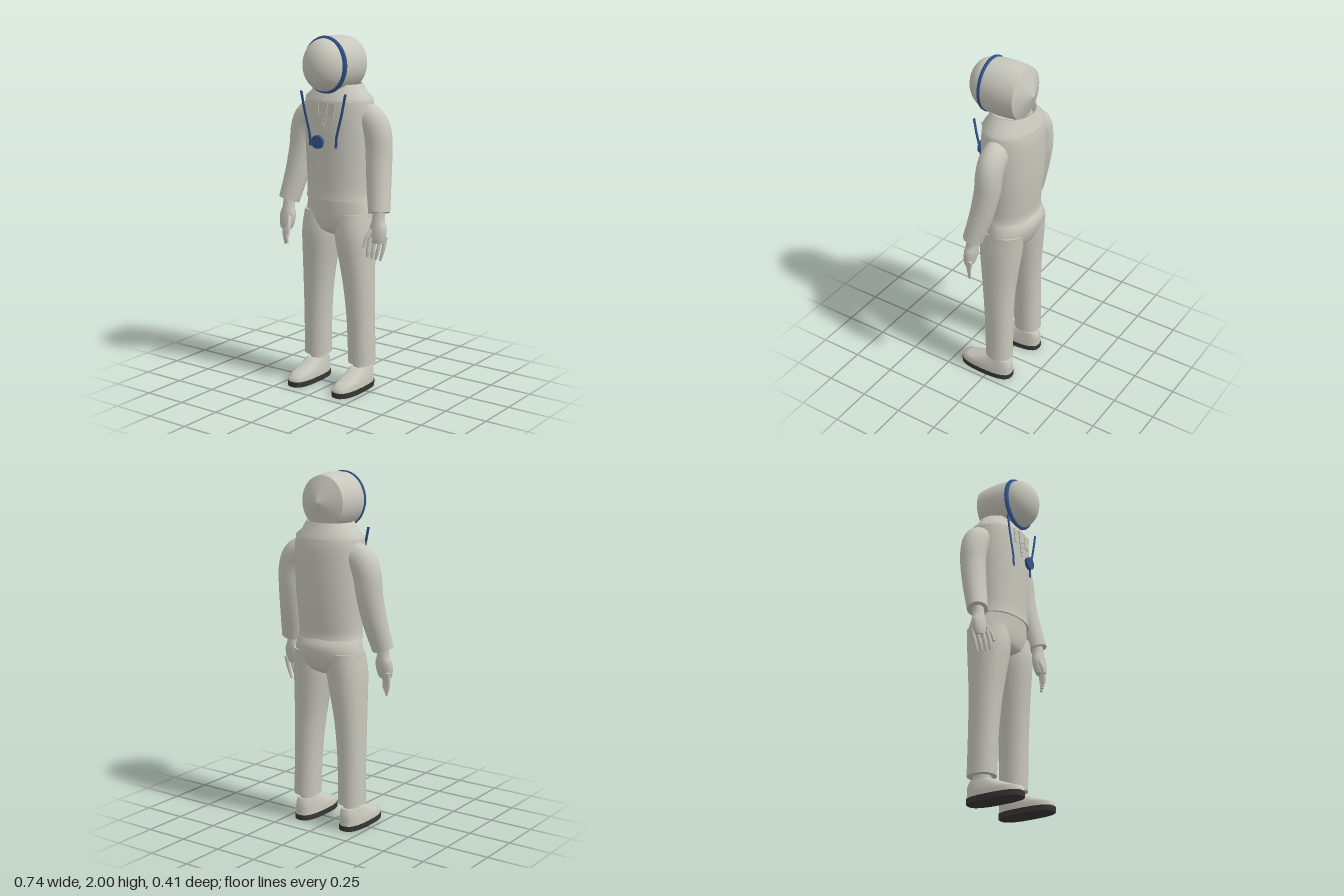
import * as THREE from 'three';

const suit = new THREE.MeshStandardMaterial({ color: 0xc8c7bc });
suit.name = 'suit grey';
const blue = new THREE.MeshStandardMaterial({ color: 0x34558f });
blue.name = 'trim blue';
const rubber = new THREE.MeshStandardMaterial({ color: 0x383734 });
rubber.name = 'sole rubber';

const mesh = (name, geo, mat, parent) => {
  const m = new THREE.Mesh(geo, mat);
  m.name = name;
  parent.add(m);
  return m;
};

// Smoothly adds steps between rows of numbers
function resample(rows, steps) {
  const out = [];
  const at = i => rows[Math.min(rows.length - 1, Math.max(0, i))];
  for (let i = 0; i < rows.length - 1; i++)
    for (let k = 0; k < steps; k++) {
      const t = k / steps;
      out.push(rows[i].map((p1, j) => {
        const p0 = at(i - 1)[j], p2 = at(i + 1)[j], p3 = at(i + 2)[j];
        return p1 + 0.5 * t * (p2 - p0 + t * (2 * p0 - 5 * p1 + 4 * p2 - p3 + t * (3 * (p1 - p2) + p3 - p0)));
      }));
    }
  out.push(rows[rows.length - 1]);
  return out;
}

// Skin over cross-sections [x, y, z, radiusX, radiusZ]; flat keeps every section level
function loft(rows, { seg = 24, flat = true, power = 2, steps = 3 } = {}) {
  const r = steps > 1 ? resample(rows, steps) : rows;
  const pos = [], idx = [], zAxis = new THREE.Vector3(0, 0, 1);
  const centre = i => new THREE.Vector3(r[i][0], r[i][1], r[i][2]);
  const ring = i => {
    const t = flat ? new THREE.Vector3(0, 1, 0)
      : centre(Math.min(i + 1, r.length - 1)).sub(centre(Math.max(i - 1, 0))).normalize();
    const u = t.clone().cross(zAxis).normalize(), v = u.clone().cross(t);
    for (let k = 0; k < seg; k++) {
      const a = k / seg * Math.PI * 2, c = Math.cos(a), s = Math.sin(a);
      const p = centre(i)
        .addScaledVector(u, Math.sign(c) * Math.abs(c) ** (2 / power) * r[i][3])
        .addScaledVector(v, Math.sign(s) * Math.abs(s) ** (2 / power) * r[i][4]);
      pos.push(p.x, p.y, p.z);
    }
  };
  r.forEach((_, i) => ring(i));
  for (let i = 0; i < r.length - 1; i++)
    for (let k = 0; k < seg; k++) {
      const a = i * seg + k, b = i * seg + (k + 1) % seg;
      idx.push(a, a + seg, b, b, a + seg, b + seg);
    }
  // end caps
  for (const end of [0, r.length - 1]) {
    const base = pos.length / 3;
    ring(end);
    pos.push(r[end][0], r[end][1], r[end][2]);
    for (let k = 0; k < seg; k++) {
      const a = base + k, b = base + (k + 1) % seg;
      idx.push(base + seg, ...(end === 0 ? [a, b] : [b, a]));
    }
  }
  const g = new THREE.BufferGeometry();
  g.setAttribute('position', new THREE.Float32BufferAttribute(pos, 3));
  g.setIndex(idx);
  g.computeVertexNormals();
  return g;
}

// Turned part whose axis points to the front, stretched into an oval
function turned(points, rx, ry) {
  const g = new THREE.LatheGeometry(points.map(p => new THREE.Vector2(...p)), 40);
  g.rotateX(Math.PI / 2);
  g.scale(rx, ry, 1);
  return g;
}

// Thin plate facing the front
function plate(points) {
  return new THREE.ExtrudeGeometry(new THREE.Shape(points.map(p => new THREE.Vector2(...p))),
    { depth: 0.005, bevelEnabled: false });
}

export function createModel() {
  const model = new THREE.Group();
  model.name = 'spacesuit';

  // Jacket, collar and hips
  mesh('jacket', loft([
    [0, 1.095, -0.042, 0.193, 0.138], [0, 1.13, -0.042, 0.188, 0.135], [0, 1.2, -0.046, 0.19, 0.139],
    [0, 1.35, -0.05, 0.2, 0.148], [0, 1.5, -0.05, 0.207, 0.152], [0, 1.6, -0.05, 0.206, 0.15],
    [0, 1.645, -0.048, 0.2, 0.145]], { seg: 40, power: 2.2 }), suit, model);
  mesh('collar', loft([
    [0, 1.635, -0.048, 0.206, 0.148], [0, 1.66, -0.048, 0.204, 0.147], [0, 1.69, -0.048, 0.168, 0.126],
    [0, 1.735, -0.048, 0.138, 0.117], [0, 1.735, -0.048, 0.128, 0.108], [0, 1.69, -0.045, 0.118, 0.1]],
  { seg: 40, steps: 1 }), suit, model);
  mesh('hips', loft([
    [0, 0.89, -0.045, 0.07, 0.06], [0, 0.92, -0.048, 0.16, 0.11], [0, 0.98, -0.054, 0.21, 0.134],
    [0, 1.05, -0.057, 0.203, 0.143], [0, 1.1, -0.045, 0.188, 0.134]], { seg: 40 }), suit, model);

  // Helmet
  const helmet = new THREE.Group();
  helmet.name = 'helmet';
  helmet.position.y = 1.843;
  model.add(helmet);
  mesh('helmetBack', turned([[0, -0.175], [0.93, -0.12]], 0.145, 0.155), suit, helmet);
  mesh('helmetShell', turned([[0.93, -0.12], [0.98, -0.07], [1, -0.01], [0.99, 0.04], [0.96, 0.08]], 0.145, 0.155), suit, helmet);
  mesh('visorRim', turned([[0.82, 0.074], [0.98, 0.074], [1, 0.08], [0.98, 0.093], [0.82, 0.093]], 0.143, 0.157), blue, helmet);
  const visor = new THREE.SphereGeometry(1, 36, 24);
  visor.scale(0.123, 0.144, 0.112);
  mesh('visor', visor, suit, helmet).position.z = 0.092;

  // Neck flaps
  mesh('centreFlap', plate([[-0.032, 1.645], [-0.006, 1.49], [0.006, 1.49], [0.032, 1.645]]), suit, model).position.z = 0.102;
  for (let i = 0; i < 3; i++) {
    mesh('fastener', new THREE.BoxGeometry(0.014, 0.008, 0.006), suit, model).position.set(0, 1.52 + i * 0.03, 0.108);
  }

  // Chest knob
  const knob = mesh('chestKnob', new THREE.CylinderGeometry(0.037, 0.037, 0.018, 16), blue, model);
  knob.rotation.x = Math.PI / 2;
  knob.position.set(0, 1.43, 0.155);

  for (const s of [1, -1]) {
    const side = new THREE.Group();
    side.name = s > 0 ? 'leftSide' : 'rightSide';
    model.add(side);
    const limb = (name, rows, opts, mat = suit) =>
      mesh(name, loft(rows.map(([x, ...rest]) => [x * s, ...rest]), opts), mat, side);
    const panel = (name, pts, z, mat) =>
      mesh(name, plate(pts.map(([x, y]) => [x * s, y])), mat, side).position.z = z;

    // Strap and flap
    panel('strap', [[0.142, 1.695], [0.122, 1.6], [0.084, 1.46], [0.079, 1.395],
      [0.093, 1.395], [0.098, 1.46], [0.136, 1.6], [0.156, 1.695]], 0.102, blue);
    panel('sideFlap', [[0.035, 1.64], [0.08, 1.64], [0.068, 1.555], [0.035, 1.565]], 0.1, suit);

    // Arm
    limb('sleeve', [
      [0.311, 1.05, 0.012, 0.062, 0.056], [0.283, 1.2, -0.025, 0.07, 0.064],
      [0.264, 1.35, -0.052, 0.075, 0.07], [0.254, 1.45, -0.058, 0.08, 0.072],
      [0.225, 1.52, -0.06, 0.085, 0.072], [0.17, 1.555, -0.06, 0.085, 0.07],
      [0.08, 1.565, -0.06, 0.08, 0.065]], { flat: false });

    // Hand
    limb('palm', [
      [0.316, 0.885, 0.032, 0.038, 0.026], [0.314, 0.92, 0.028, 0.048, 0.034],
      [0.312, 0.97, 0.022, 0.05, 0.036], [0.31, 1.01, 0.018, 0.036, 0.034],
      [0.31, 1.07, 0.012, 0.034, 0.032]], { seg: 14 });
    for (let i = 0; i < 4; i++) {
      limb('finger', [
        [0.35 - 0.021 * i, 0.92, 0.004 + 0.018 * i, 0.012, 0.012],
        [0.344 - 0.021 * i, 0.85, 0.018 + 0.019 * i, 0.011, 0.011],
        [0.328 - 0.017 * i, 0.785 + 0.008 * i, 0.026 + 0.016 * i, 0.007, 0.007]],
      { seg: 8, flat: false });
    }
    limb('thumb', [
      [0.29, 0.96, 0.04, 0.015, 0.015], [0.268, 0.91, 0.072, 0.012, 0.012],
      [0.262, 0.86, 0.088, 0.008, 0.008]], { seg: 8, flat: false });

    // Leg
    limb('trouserLeg', [
      [0.155, 0.15, -0.055, 0.074, 0.08], [0.15, 0.4, -0.05, 0.076, 0.083],
      [0.14, 0.6, -0.045, 0.085, 0.092], [0.127, 0.75, -0.043, 0.096, 0.107],
      [0.113, 0.9, -0.043, 0.108, 0.122], [0.108, 1.02, -0.055, 0.1, 0.12]], { seg: 28, power: 2.2 });

    // Boot
    limb('ankle', [[0.152, 0.09, -0.055, 0.047, 0.055], [0.152, 0.16, -0.055, 0.045, 0.052]],
      { seg: 10, steps: 1 });
    limb('bootUpper', [
      [0.155, 0.025, 0.03, 0.064, 0.168], [0.155, 0.055, 0.03, 0.063, 0.167],
      [0.155, 0.07, 0.008, 0.06, 0.145], [0.154, 0.1, -0.03, 0.054, 0.105],
      [0.153, 0.125, -0.05, 0.048, 0.07]], { power: 2.7, steps: 1 });
    limb('sole', [[0.155, 0, 0.03, 0.067, 0.17], [0.155, 0.03, 0.03, 0.068, 0.171]],
      { power: 2.7, steps: 1 }, rubber);
  }
  return model;
}
